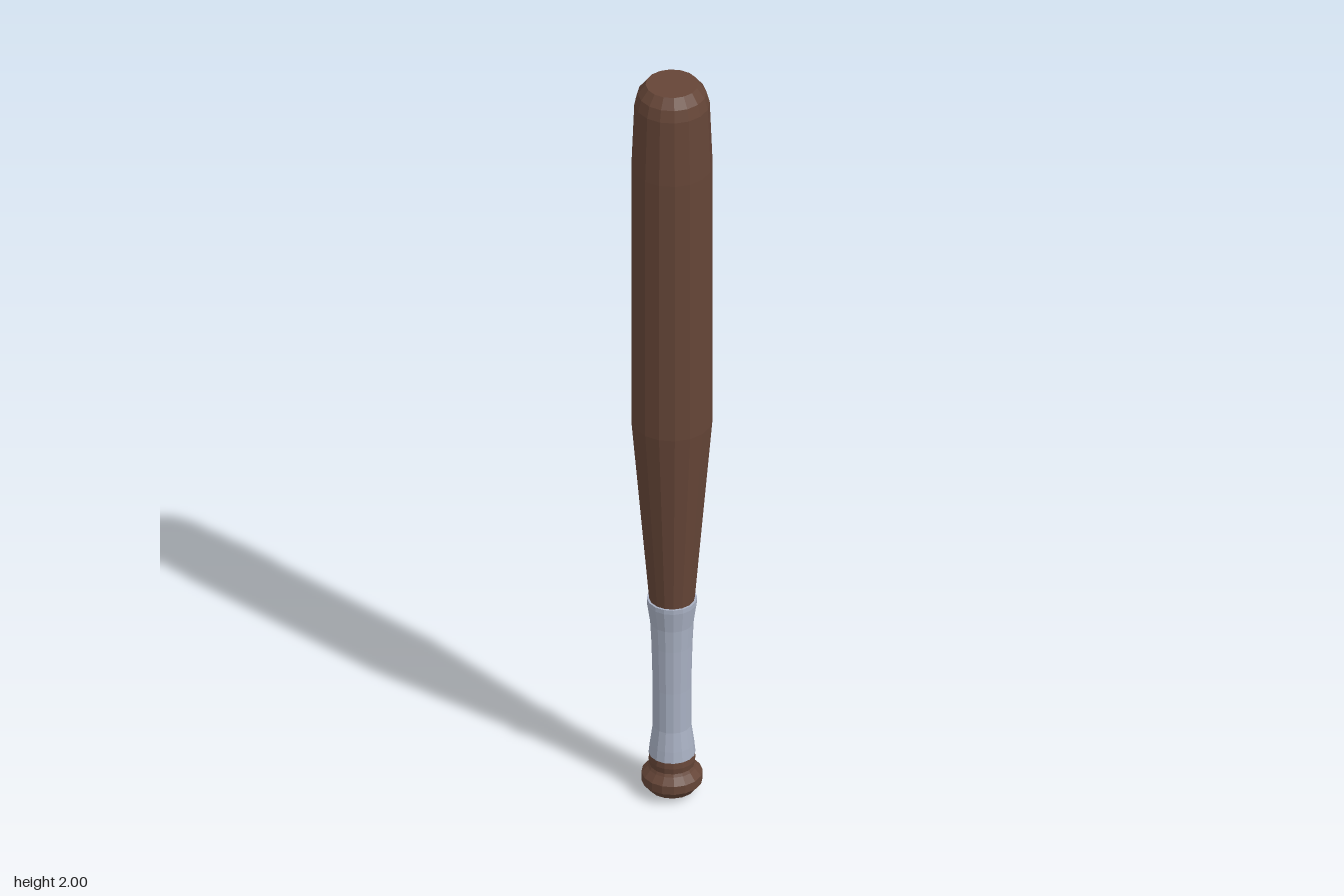
import * as THREE from 'three';

const SIDES = 16;

// Faceted turned part from [radius, height] pairs, listed bottom to top
function turned(name, profile, material) {
  const points = profile.map(([r, y]) => new THREE.Vector2(r, y));
  const mesh = new THREE.Mesh(new THREE.LatheGeometry(points, SIDES), material);
  mesh.name = name;
  return mesh;
}

export function createModel() {
  const wood = new THREE.MeshStandardMaterial({ color: 0x654537, flatShading: true });
  wood.name = 'brown wood';
  const wrap = new THREE.MeshStandardMaterial({ color: 0xa8b0c2, flatShading: true });
  wrap.name = 'grey grip wrap';

  const model = new THREE.Group();
  model.name = 'bat';

  // Rounded knob and short collar at the base
  model.add(turned('knob', [
    [0, 0], [0.035, 0.003], [0.056, 0.013], [0.073, 0.034], [0.073, 0.056],
    [0.058, 0.073], [0.054, 0.08], [0.056, 0.095], [0.054, 0.112], [0, 0.112],
  ], wood));

  // Waisted grip, flaring at both ends
  model.add(turned('grip', [
    [0, 0.111], [0.056, 0.111], [0.053, 0.14], [0.046, 0.19], [0.046, 0.3],
    [0.049, 0.42], [0.052, 0.48], [0.06, 0.535], [0.06, 0.547], [0, 0.547],
  ], wrap));

  // Tapered barrel with a rounded, flat-topped end
  model.add(turned('barrel', [
    [0.054, 0.54], [0.097, 1.05], [0.097, 1.77], [0.09, 1.945],
    [0.082, 1.975], [0.063, 2], [0, 2],
  ], wood));

  return model;
}
